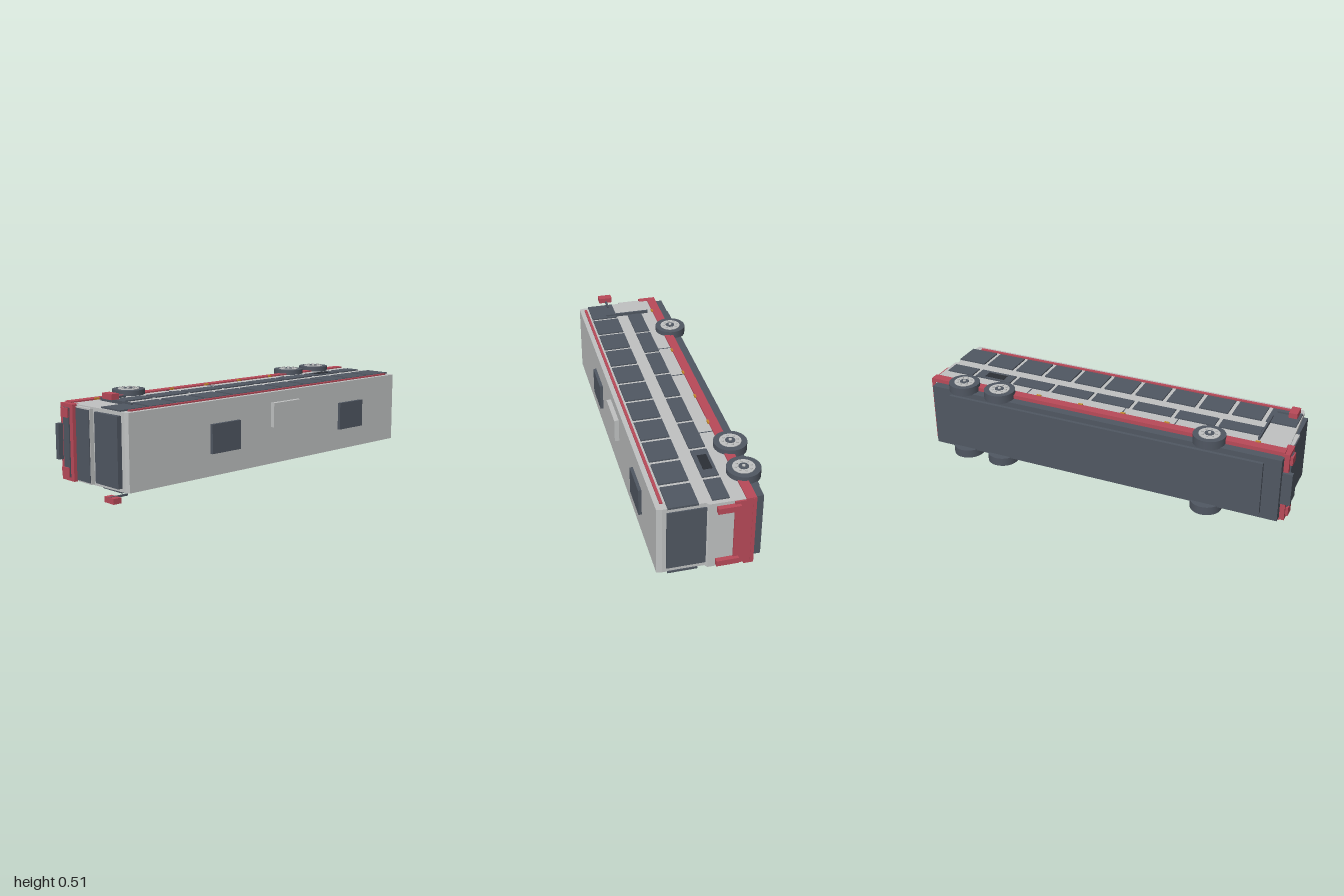
import * as THREE from 'three';

const mat = (name, color) => {
  const m = new THREE.MeshStandardMaterial({ color });
  m.name = name;
  return m;
};

export function createModel() {
  const grey = mat('light grey paint', 0xc0c2c2);
  const dark = mat('dark slate', 0x505762);
  const red = mat('red paint', 0xb94a59);
  const black = mat('near black', 0x2b2f36);
  const amber = mat('amber', 0xc98a2b);

  const bus = new THREE.Group();
  bus.name = 'bus';
  const MID = 0.256; // middle of the width, which runs along y

  // Box given by its extents on each axis
  const box = (name, material, x0, x1, y0, y1, z0, z1) => {
    const mesh = new THREE.Mesh(new THREE.BoxGeometry(x1 - x0, y1 - y0, z1 - z0), material);
    mesh.position.set((x0 + x1) / 2, (y0 + y1) / 2, (z0 + z1) / 2);
    mesh.name = name;
    bus.add(mesh);
    return mesh;
  };
  // Same box on both long sides; a and b are distances from the middle
  const pair = (name, material, x0, x1, a, b, z0, z1) => {
    box(name, material, x0, x1, MID + a, MID + b, z0, z1);
    box(name, material, x0, x1, MID - b, MID - a, z0, z1);
  };

  // Body: side outline extruded across the width
  const outline = new THREE.Shape();
  [[-0.95, -0.195], [0.972, -0.195], [0.972, 0.02], [0.957, 0.03], [0.957, 0.23], [0.95, 0.255],
    [-0.925, 0.255], [-0.933, 0.235], [-0.945, 0.02], [-0.95, -0.1]]
    .forEach(([x, z], i) => (i ? outline.lineTo(x, z) : outline.moveTo(x, z)));
  const bodyGeo = new THREE.ExtrudeGeometry(outline, { depth: 0.366, bevelEnabled: false });
  bodyGeo.rotateX(Math.PI / 2);
  bodyGeo.scale(1, -1, 1);
  // the mirroring flips the winding, so swap two corners of each triangle
  const p = bodyGeo.attributes.position;
  for (let i = 0; i < p.count; i += 3) {
    const a = new THREE.Vector3().fromBufferAttribute(p, i);
    const b = new THREE.Vector3().fromBufferAttribute(p, i + 1);
    p.setXYZ(i, b.x, b.y, b.z);
    p.setXYZ(i + 1, a.x, a.y, a.z);
  }
  bodyGeo.computeVertexNormals();
  bodyGeo.computeBoundingBox();
  bodyGeo.translate(0, 0.073 - bodyGeo.boundingBox.min.y, 0);
  const body = new THREE.Mesh(bodyGeo, grey);
  body.name = 'body';
  bus.add(body);

  // Chassis
  box('chassis', dark, -0.95, 0.95, 0.085, 0.425, -0.24, -0.19);
  box('underfloor', dark, -0.864, 0.842, 0.116, 0.397, -0.257, -0.24);

  // Red skirt and upper stripe along both sides
  pair('skirt', red, -0.95, 0.98, 0.17, 0.19, -0.197, -0.15);
  pair('roofStripe', red, -0.9, 0.917, 0.18, 0.19, 0.217, 0.231);
  box('waistStripe', red, -0.9, 0.45, 0.067, 0.075, 0.018, 0.06);

  // Upper and lower side windows
  for (let i = 0; i < 11; i++) {
    const x = -0.933 + i * 0.1743;
    pair('upperWindow', dark, x, x + 0.152, 0.18, 0.19, 0.064, 0.205);
  }
  for (let i = 0; i < 8; i++) {
    const x = -0.79 + i * 0.2275;
    pair('lowerWindow', dark, x, Math.min(x + 0.207, 0.95), 0.18, 0.189, -0.08, 0);
  }
  pair('sideGrille', black, 0.62, 0.73, 0.187, 0.191, -0.065, -0.02);

  // Panel seams, side markers and door rail
  for (const x of [-0.377, -0.094, 0.44]) pair('panelSeam', dark, x - 0.002, x + 0.002, 0.18, 0.185, -0.15, -0.08);
  for (const x of [-0.805, -0.34, -0.104, 0.13, 0.366]) {
    pair('sideMarker', amber, x - 0.012, x + 0.012, 0.185, 0.194, -0.153, -0.144);
  }
  pair('doorRail', dark, -0.805, -0.795, 0.183, 0.199, -0.12, 0.12);

  // Roof units
  for (const x of [-0.347, 0.575]) box('roofVent', dark, x - 0.092, x + 0.092, 0.184, 0.328, 0.25, 0.271);
  box('roofUnit', grey, -0.03, 0.166, 0.262, 0.386, 0.25, 0.278);

  // Front end
  box('windscreen', dark, -0.958, -0.93, 0.09, 0.422, 0.042, 0.214);
  box('frontPanel', grey, -0.966, -0.94, 0.078, 0.434, -0.09, 0.018);
  box('lowerWindscreen', dark, -0.97, -0.964, 0.085, 0.427, -0.087, 0.015);
  box('frontBumper', red, -0.975, -0.94, 0.072, 0.44, -0.2, -0.105);
  box('frontGrille', dark, -0.981, -0.974, 0.09, 0.422, -0.175, -0.13);
  box('frontStep', dark, -1, -0.95, 0.17, 0.342, -0.212, -0.188);
  pair('headlight', red, -0.988, -0.96, 0.12, 0.165, -0.185, -0.13);

  // Rear end
  box('rearWindow', dark, 0.95, 0.963, 0.096, 0.417, 0.023, 0.21);
  box('rearPanel', red, 0.965, 0.98, 0.077, 0.437, -0.182, -0.098);
  box('rearBumper', red, 0.96, 0.982, 0.07, 0.443, -0.197, -0.18);
  pair('tailLight', red, 0.965, 0.996, 0.137, 0.167, -0.123, -0.016);

  // Wing mirrors on long arms
  pair('mirror', red, -0.933, -0.89, 0.228, 0.255, 0.071, 0.143);
  pair('mirrorArm', dark, -0.93, -0.826, 0.227, 0.236, 0.1, 0.11);

  // Wheels: tyre, rim, hub and bolts, facing outward on both sides
  const disc = (group, name, material, r, y0, y1, x = 0, z = 0, sides = 32) => {
    const m = new THREE.Mesh(new THREE.CylinderGeometry(r, r, y1 - y0, sides), material);
    m.position.set(x, (y0 + y1) / 2, z);
    m.name = name;
    group.add(m);
  };
  for (const x of [-0.577, 0.569, 0.778]) {
    for (const side of [0, Math.PI]) {
      const wheel = new THREE.Group();
      wheel.name = 'wheel';
      disc(wheel, 'tyre', dark, 0.081, 0.165, 0.209);
      disc(wheel, 'rim', grey, 0.053, 0.2, 0.212);
      disc(wheel, 'hub', dark, 0.024, 0.205, 0.214);
      disc(wheel, 'hubCap', grey, 0.008, 0.21, 0.219, 0, 0, 12);
      for (let i = 0; i < 8; i++) {
        const a = (i * Math.PI) / 4;
        disc(wheel, 'bolt', grey, 0.006, 0.21, 0.218, 0.037 * Math.cos(a), 0.037 * Math.sin(a), 8);
      }
      wheel.position.set(x, MID, -0.198);
      wheel.rotation.x = side;
      bus.add(wheel);
    }
    box('axle', dark, x - 0.015, x + 0.015, 0.08, 0.43, -0.213, -0.183);
  }
  return bus;
}
